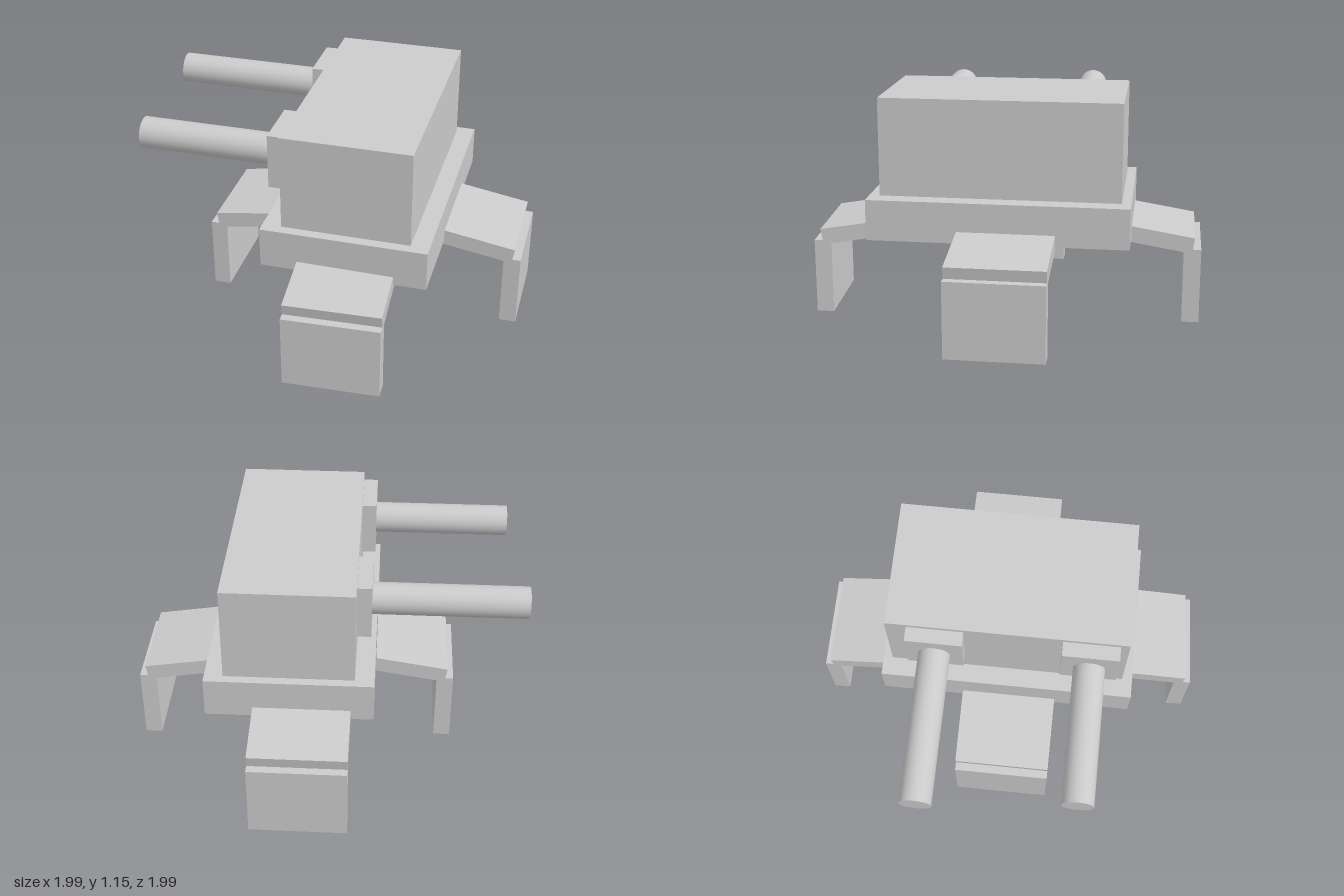
import * as THREE from 'three';

const material = new THREE.MeshStandardMaterial({ color: 0xcccccc, flatShading: true });
const smooth = new THREE.MeshStandardMaterial({ color: 0xcccccc });

// Box given by its extents on each axis
function box(name, [x0, x1], [y0, y1], [z0, z1]) {
  const mesh = new THREE.Mesh(new THREE.BoxGeometry(x1 - x0, y1 - y0, z1 - z0), material);
  mesh.name = name;
  mesh.position.set((x0 + x1) / 2, (y0 + y1) / 2, (z0 + z1) / 2);
  return mesh;
}

// Leg pointing along its local +z, with the outer face of the foot at z = 0
function leg(name, x, z, yaw) {
  const group = new THREE.Group();
  group.name = name;
  const thigh = box('thigh', [-0.245, 0.245], [0.395, 0.477], [-0.417, -0.037]);
  thigh.rotation.x = 0.16;
  group.add(thigh, box('shin', [-0.245, 0.245], [0, 0.387], [-0.087, 0]));
  group.position.set(x, 0, z);
  group.rotation.y = yaw;
  return group;
}

// Side gun: square mount plate and a barrel reaching out to x = tip
function gun(name, z, tip) {
  const group = new THREE.Group();
  group.name = name;
  const root = -0.232;
  const barrel = new THREE.Mesh(new THREE.CylinderGeometry(0.08, 0.08, root - tip, 48), smooth);
  barrel.name = 'barrel';
  barrel.rotation.z = Math.PI / 2;
  barrel.position.set((root + tip) / 2, 0.98, z);
  group.add(box('mount', [root, -0.158], [0.845, 1.128], [z - 0.142, z + 0.142]), barrel);
  return group;
}

export function createModel() {
  const model = new THREE.Group();
  model.name = 'walker';

  // Body
  model.add(
    box('base', [-0.255, 0.59], [0.446, 0.653], [-0.65, 0.66]),
    box('upperBody', [-0.158, 0.496], [0.653, 1.15], [-0.603, 0.607]),
  );

  // Guns
  model.add(gun('backGun', -0.355, -1), gun('frontGun', 0.42, -0.93));

  // Legs, the front one slightly turned
  model.add(
    leg('frontLeg', 0.195, 0.983, 0.048),
    leg('backLeg', 0.105, -1, Math.PI),
    leg('leftLeg', 0.99, -0.04, Math.PI / 2),
    leg('rightLeg', -0.665, 0.02, -Math.PI / 2),
  );
  return model;
}
